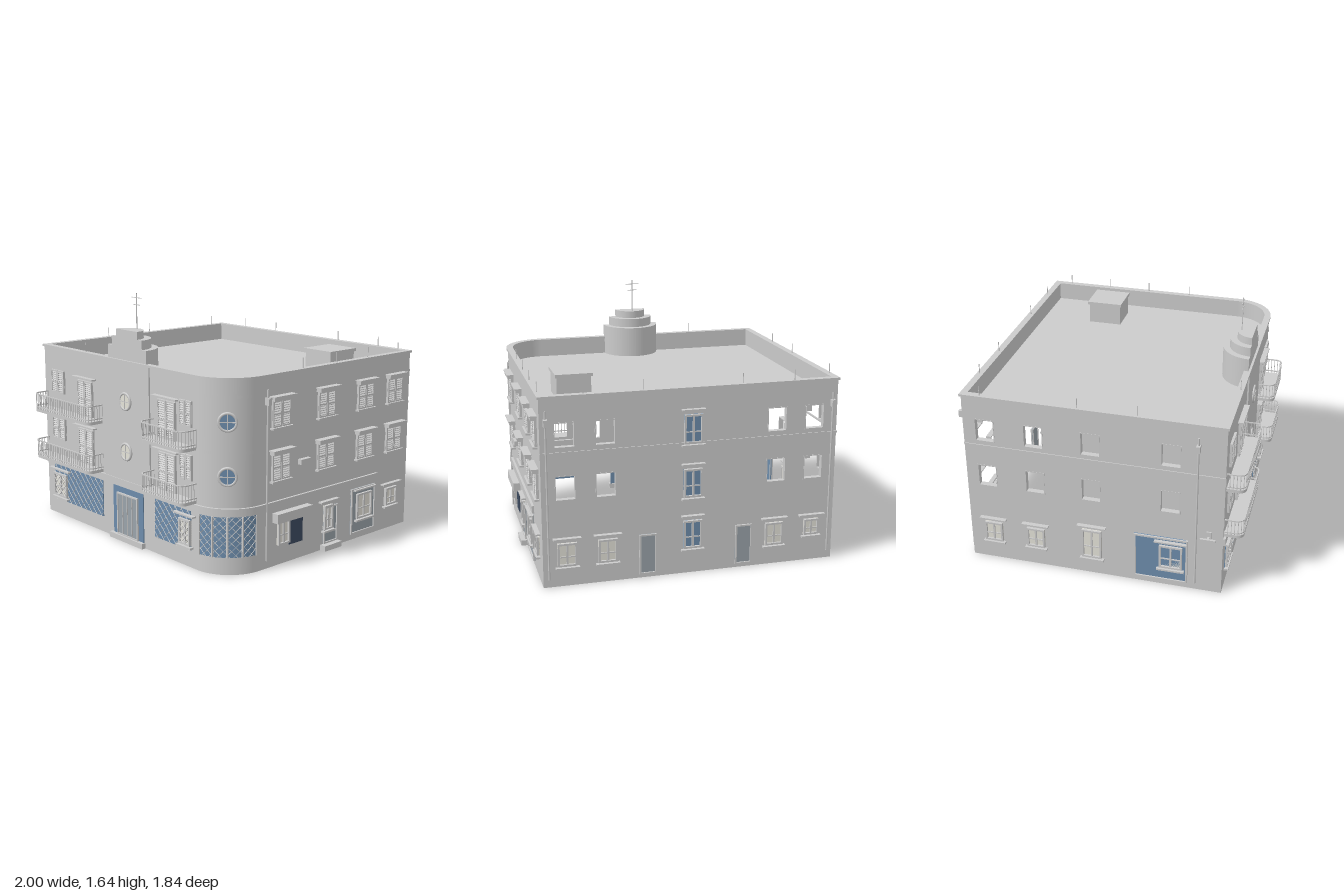
import * as THREE from 'three';

const mat = (color, side = THREE.FrontSide) => new THREE.MeshStandardMaterial({ color, side });
const GREY = mat(0xcccccc), GREY2 = mat(0xcccccc, THREE.DoubleSide), CREAM = mat(0xe4e2d8);
const BLUE = mat(0x6d8cab, THREE.DoubleSide), NAVY = mat(0x3c4a60), DOOR = mat(0x9aa3aa);
const V = (x, y, z) => new THREE.Vector3(x, y, z);
const CX = 0.68, CZ = 0.53, R = 0.27; // rounded corner

function add(parent, name, geo, m = GREY, x = 0, y = 0, z = 0) {
  const mesh = new THREE.Mesh(geo, m);
  mesh.name = name;
  mesh.position.set(x, y, z);
  parent.add(mesh);
  return mesh;
}
const box = (p, name, x, y, z, w, h, d, m) => add(p, name, new THREE.BoxGeometry(w, h, d), m, x, y, z);
function group(parent, name, x = 0, y = 0, z = 0, ry = 0) {
  const g = new THREE.Group();
  g.name = name;
  g.position.set(x, y, z);
  g.rotation.y = ry;
  parent.add(g);
  return g;
}
// Thin square bar between two points
function bar(p, name, a, b, t = 0.004, m = GREY) {
  const mesh = box(p, name, 0, 0, 0, t, t, a.distanceTo(b), m);
  mesh.position.copy(a).add(b).multiplyScalar(0.5);
  mesh.quaternion.setFromUnitVectors(V(0, 0, 1), b.clone().sub(a).normalize());
}
// Footprint with one rounded corner, grown by o (shape y is -z)
function outline(o, C = THREE.Shape) {
  const s = new C();
  s.moveTo(-0.95 - o, 0.88 + o);
  s.lineTo(-0.95 - o, -0.8 - o);
  s.lineTo(CX, -0.8 - o);
  s.absarc(CX, -CZ, R + o, -Math.PI / 2, 0, false);
  s.lineTo(0.95 + o, 0.88 + o);
  s.closePath();
  return s;
}
const slab = (shape, h) =>
  new THREE.ExtrudeGeometry(shape, { depth: h, bevelEnabled: false, curveSegments: 24 }).rotateX(-Math.PI / 2);
function ring(p, name, out, inn, y0, y1) {
  const s = outline(out);
  s.holes.push(outline(inn, THREE.Path));
  add(p, name, slab(s, y1 - y0), GREY, 0, y0, 0);
}
const band = (p, name, r, y0, y1, m, t0 = 0, t1 = Math.PI / 2) =>
  add(p, name, new THREE.CylinderGeometry(r, r, y1 - y0, 24, 1, true, t0, t1 - t0), m, CX, (y0 + y1) / 2, CZ);

// Flat wall with rectangular holes [u, y0, y1, w]
function wall(p, name, u0, u1, holes = []) {
  const rect = (C, a, b, c, d) => new C([[a, c], [b, c], [b, d], [a, d]].map(q => new THREE.Vector2(...q)));
  const s = rect(THREE.Shape, u0, u1, 0, 1.09);
  for (const [u, a, b, w] of holes) {
    s.holes.push(rect(THREE.Path, u - w / 2, u + w / 2, a, b));
    frame(p, 'windowReveal', u, a, b, w, 0.006, 0.036, -0.016);
  }
  add(p, name, new THREE.ShapeGeometry(s), GREY);
}
function frame(p, name, u, y0, y1, w, t, d, z = 0, m = GREY) {
  for (const s of [-1, 1]) box(p, name, u + s * (w - t) / 2, (y0 + y1) / 2, z, t, y1 - y0, d, m);
  for (const y of [y0 + t / 2, y1 - t / 2]) box(p, name, u, y, z, w, t, d, m);
}
// Diagonal grille; place maps (u, v) to a point, n splits bars to follow curves
function lattice(p, w, h, step, place, n = 1) {
  for (let c = -h + step / 2; c < w; c += step) {
    const a = Math.max(0, c), b = Math.min(w, c + h);
    for (const flip of [false, true]) for (let i = 0; i < n; i++) {
      const at = k => { const u = a + (b - a) * k / n; return place(flip ? w - u : u, u - c); };
      bar(p, 'grilleBar', at(i), at(i + 1), 0.003);
    }
  }
}
// Two louvred leaves
function shutters(p, u, y0, y1, w, hood) {
  const g = group(p, 'shutters'), lw = w / 2 - 0.002;
  box(g, 'shutterBacking', u, (y0 + y1) / 2, 0.003, w, y1 - y0, 0.006, GREY);
  for (const s of [-1, 1]) {
    const c = u + s * w / 4;
    frame(g, 'shutterFrame', c, y0, y1, lw, 0.01, 0.016, 0.008);
    box(g, 'shutterMidRail', c, (y0 + y1) / 2, 0.008, lw, 0.01, 0.016);
    for (let y = y0 + 0.02; y < y1 - 0.012; y += 0.014)
      box(g, 'louvre', c, y, 0.01, lw - 0.02, 0.003, 0.012).rotation.x = 0.6;
  }
  if (hood) {
    box(g, 'hood', u, y1 + 0.015, 0.02, w + 0.02, 0.028, 0.04);
    box(g, 'hoodTop', u, y1 + 0.027, 0.024, w + 0.036, 0.007, 0.048);
    box(g, 'sill', u, y0 - 0.006, 0.015, w + 0.02, 0.012, 0.03);
  }
}
// Casement with hood and sill
function casement(p, u, y0, y1, w, m = CREAM, hood = w + 0.06) {
  const g = group(p, 'casementWindow');
  box(g, 'pane', u, (y0 + y1) / 2, 0.003, w, y1 - y0, 0.006, m);
  frame(g, 'casementFrame', u, y0, y1, w, 0.012, 0.024, 0.008);
  box(g, 'mullion', u, (y0 + y1) / 2, 0.007, 0.012, y1 - y0, 0.016);
  box(g, 'transom', u, y0 + (y1 - y0) * 0.4, 0.006, w, 0.007, 0.014);
  if (!hood) return;
  box(g, 'hood', u, y1 + 0.03, 0.015, hood, 0.01, 0.03);
  box(g, 'sill', u, y0 - 0.012, 0.014, w + 0.03, 0.012, 0.028);
}
function door(p, u, y0, y1, w) {
  box(p, 'doorLeaf', u, (y0 + y1) / 2, 0.002, w, y1 - y0, 0.006, DOOR);
  frame(p, 'doorFrame', u, y0, y1, w, 0.01, 0.02, 0.004);
}
function roundWindow(p, y, m) {
  const g = group(p, 'roundWindow', 0, y, 0.004);
  add(g, 'roundPane', new THREE.CircleGeometry(0.055, 32), m, 0, 0, 0.004);
  add(g, 'roundFrame', new THREE.TorusGeometry(0.053, 0.009, 8, 32), GREY);
  box(g, 'crossBar', 0, 0, 0.005, 0.1, 0.006, 0.006);
  box(g, 'crossBar', 0, 0, 0.005, 0.006, 0.1, 0.006);
}
function balcony(p, x0, x1, y) {
  const g = group(p, 'balcony', 0, y, 0), d = 0.12, r = 0.05;
  const s = new THREE.Shape();
  s.moveTo(x0, 0);
  s.lineTo(x0, -d + r);
  s.quadraticCurveTo(x0, -d, x0 + r, -d);
  s.lineTo(x1 - r, -d);
  s.quadraticCurveTo(x1, -d, x1, -d + r);
  s.lineTo(x1, 0);
  add(g, 'balconySlab', slab(s, 0.02));
  const pts = s.getSpacedPoints(Math.round((x1 - x0 + 0.2) / 0.022));
  pts.forEach((q, i) => {
    const at = (k, h) => V(k.x, h, -k.y * 0.98);
    bar(g, 'baluster', at(q, 0.02), at(q, 0.125));
    if (i) for (const h of [0.035, 0.125]) bar(g, 'handrail', at(pts[i - 1], h), at(q, h), 0.007);
  });
}
function pipe(p, u) {
  add(p, 'drainPipe', new THREE.CylinderGeometry(0.006, 0.006, 1.07, 8), GREY, u, 0.59, 0.012);
  box(p, 'rainHopper', u, 1.055, 0.018, 0.025, 0.045, 0.034);
}

export function createModel() {
  const root = new THREE.Group();
  root.name = 'apartmentBuilding';
  const front = group(root, 'frontWall', 0, 0, 0.8);
  const right = group(root, 'leftSideWall', 0.95, 0, 0, Math.PI / 2); // u = -z
  const left = group(root, 'rightSideWall', -0.95, 0, 0, -Math.PI / 2); // u = z
  const back = group(root, 'backWall', 0, 0, -0.88, Math.PI); // u = -x
  const floors = [0, 0.333];

  // Shell, roof and parapet
  const holes = us => floors.flatMap(f => us.map(u => [u, 0.89 - f, 1.05 - f, 0.13]));
  wall(front, 'wallPanel', -0.95, CX);
  wall(right, 'wallPanel', -CZ, 0.88);
  wall(left, 'wallPanel', -0.88, 0.8, holes([-0.74, -0.42, -0.05, 0.46]));
  wall(back, 'wallPanel', -0.95, 0.95, holes([-0.8, -0.55, 0.55, 0.8]));
  band(root, 'cornerWall', R, 0, 1.09, GREY);
  const flat = (name, y) => add(root, name, new THREE.ShapeGeometry(outline(0), 24).rotateX(-Math.PI / 2), GREY, 0, y, 0);
  flat('roof', 1.09);
  flat('underside', 0).material = mat(0xcccccc, THREE.BackSide);
  ring(root, 'parapet', 0, -0.03, 1.09, 1.2);
  ring(root, 'parapetCap', 0.01, -0.035, 1.2, 1.215);

  // Ledge over the ground floor and corner mouldings
  const ledge = new THREE.Shape();
  ledge.moveTo(-0.95, -0.79);
  ledge.lineTo(-0.95, -0.815);
  ledge.lineTo(CX, -0.815);
  ledge.absarc(CX, -CZ, 0.285, -Math.PI / 2, 0, false);
  ledge.lineTo(0.965, 0.56);
  ledge.lineTo(0.94, 0.56);
  ledge.lineTo(0.94, -CZ);
  ledge.absarc(CX, -CZ, 0.26, 0, -Math.PI / 2, true);
  add(root, 'ledge', slab(ledge, 0.05), GREY, 0, 0.37, 0);
  for (const y of [0.75, 1.09]) band(root, 'cornerMoulding', R + 0.004, y, y + 0.02, GREY2);
  box(back, 'stringCourse', 0, 0.86, 0.002, 1.9, 0.012, 0.008);
  box(left, 'stringCourse', -0.04, 0.86, 0.002, 1.68, 0.012, 0.008);

  // Central panel with stepped half-round crown and aerial
  box(front, 'centralPanel', 0, 0.815, 0, 0.48, 0.79, 0.02);
  const panel = group(front, 'panelWindows', 0, 0, 0.01);
  for (const f of floors) roundWindow(panel, 0.95 - f, CREAM);
  for (const [r, y0, y1] of [[0.2, 1.09, 1.3], [0.157, 1.3, 1.36], [0.11, 1.36, 1.41]]) {
    const s = new THREE.Shape();
    s.absarc(0, 0, r, 0, Math.PI, false);
    add(root, 'crownTier', slab(s, y1 - y0), GREY, 0, y0, 0.795);
  }
  bar(root, 'aerialMast', V(0, 1.4, 0.71), V(0, 1.64, 0.71), 0.005);
  for (const [w, y] of [[0.05, 1.61], [0.035, 1.565]]) bar(root, 'aerialArm', V(-w, y, 0.71), V(w, y, 0.71));
  box(root, 'roofHatch', 0.667, 1.16, -0.387, 0.22, 0.14, 0.23);
  box(root, 'roofHatchLid', 0.667, 1.24, -0.387, 0.24, 0.02, 0.25);
  const rods = [[-0.46, 0.79], [-0.94, 0.25], [-0.94, -0.13], [-0.94, -0.76], [-0.66, -0.87], [-0.32, -0.87],
    [0.31, -0.87], [0.68, -0.87], [0.94, 0.16], [0.94, -0.15], [0.94, -0.45], [0.94, -0.76]];
  for (const [x, z] of rods) bar(root, 'roofRod', V(x, 1.2, z), V(x, 1.28, z));

  // Front upper floors
  for (const f of floors) {
    shutters(front, -0.78, 0.89 - f, 1.05 - f, 0.155);
    shutters(front, 0.59, 0.89 - f, 1.05 - f, 0.115);
    for (const x of [-0.457, 0.41]) {
      shutters(front, x, 0.775 - f, 1.02 - f, 0.17);
      box(front, 'doorHood', x, 1.04 - f, 0.018, 0.24, 0.01, 0.036);
    }
    balcony(front, -0.925, -0.275, 0.757 - f);
    balcony(front, 0.27, 0.68, 0.757 - f);
  }

  // Front shop windows, entrance and step
  for (const [a, b] of [[-0.86, -0.28], [0.28, 0.63]]) {
    box(front, 'shopGlass', (a + b) / 2, 0.238, 0.002, b - a, 0.255, 0.006, BLUE);
    lattice(front, b - a, 0.255, 0.06, (u, v) => V(a + u, 0.11 + v, 0.007));
  }
  for (const [x, w] of [[-0.78, 0.155], [0.58, 0.105]]) {
    casement(front, x, 0.14, 0.305, w, CREAM, w + 0.08);
    lattice(front, w, 0.165, 0.04, (u, v) => V(x - w / 2 + u, 0.14 + v, 0.018));
  }
  box(front, 'entranceGlass', 0, 0.2, 0.002, 0.32, 0.33, 0.008, BLUE);
  box(front, 'entranceDoors', 0, 0.175, 0.008, 0.21, 0.28, 0.008, DOOR);
  frame(front, 'entranceFrame', 0, 0.035, 0.325, 0.22, 0.01, 0.02, 0.008);
  for (const x of [-0.05, 0, 0.05]) box(front, 'entranceBar', x, 0.18, 0.013, 0.005, 0.28, 0.008);
  box(front, 'entranceStep', -0.005, 0.018, 0.01, 0.35, 0.036, 0.04);

  // Rounded corner
  band(root, 'cornerGlass', R + 0.003, 0.11, 0.365, BLUE, 0.1, 1.47);
  const onCorner = (u, y) => V(CX + 0.275 * Math.sin(0.1 + u / R), y, CZ + 0.275 * Math.cos(0.1 + u / R));
  lattice(root, 0.37, 0.255, 0.05, (u, v) => onCorner(u, 0.11 + v), 4);
  for (let i = 0; i <= 4; i++) bar(root, 'cornerMullion', onCorner(i * 0.0925, 0.11), onCorner(i * 0.0925, 0.365), 0.01);
  const corner = group(root, 'cornerWindows', CX + R * Math.SQRT1_2, 0, CZ + R * Math.SQRT1_2, Math.PI / 4);
  for (const f of floors) roundWindow(corner, 0.95 - f, BLUE);

  // Side with the rounded corner
  for (const f of floors) for (const u of [-0.36, 0.045, 0.42, 0.72]) shutters(right, u, 0.885 - f, 1.05 - f, 0.155, true);
  box(right, 'ventBox', -0.155, 0.632, 0.015, 0.09, 0.034, 0.03);
  pipe(right, -0.48);
  box(right, 'awning', -0.265, 0.315, 0.024, 0.31, 0.06, 0.05);
  box(right, 'shopPane', -0.215, 0.195, 0.002, 0.12, 0.17, 0.008, NAVY);
  casement(right, -0.33, 0.13, 0.285, 0.1, CREAM, 0);
  door(right, 0.105, 0.04, 0.285, 0.13);
  casement(right, 0.08, 0.135, 0.295, 0.08, CREAM, 0.17);
  box(right, 'doorStep', 0.1, 0.018, 0.018, 0.16, 0.036, 0.05);
  door(right, 0.425, 0.04, 0.35, 0.24);
  casement(right, 0.43, 0.14, 0.31, 0.15);
  casement(right, 0.71, 0.17, 0.29, 0.115, CREAM, 0.19);

  // Opposite side
  for (const u of [-0.72, -0.43]) casement(left, u, 0.145, 0.285, 0.12);
  casement(left, -0.05, 0.13, 0.34, 0.13);
  box(left, 'shopGlass', 0.405, 0.205, 0.002, 0.35, 0.33, 0.008, BLUE);
  frame(left, 'shopFrame', 0.405, 0.04, 0.37, 0.35, 0.012, 0.02, 0.006);
  casement(left, 0.47, 0.14, 0.31, 0.15);
  pipe(left, 0.63);
  box(left, 'lampArm', 0.71, 0.42, 0.02, 0.015, 0.015, 0.045);
  box(left, 'lampHead', 0.71, 0.415, 0.042, 0.1, 0.03, 0.015);
  box(left, 'lampPlate', 0.71, 0.415, 0.004, 0.03, 0.09, 0.01);

  // Back: stair windows, doors and ground-floor windows
  for (const y of [0.17, 0.51, 0.86]) casement(back, 0, y, y + 0.185, 0.12, BLUE, 0.15);
  for (const u of [-0.29, 0.34]) door(back, u, 0.025, 0.29, 0.11);
  for (const u of [-0.8, -0.545, 0.545]) casement(back, u, 0.135, 0.285, 0.12, CREAM, 0.175);
  casement(back, 0.8, 0.18, 0.285, 0.1, CREAM, 0.175);
  for (const u of [-0.915, 0.915]) pipe(back, u);
  return root;
}
